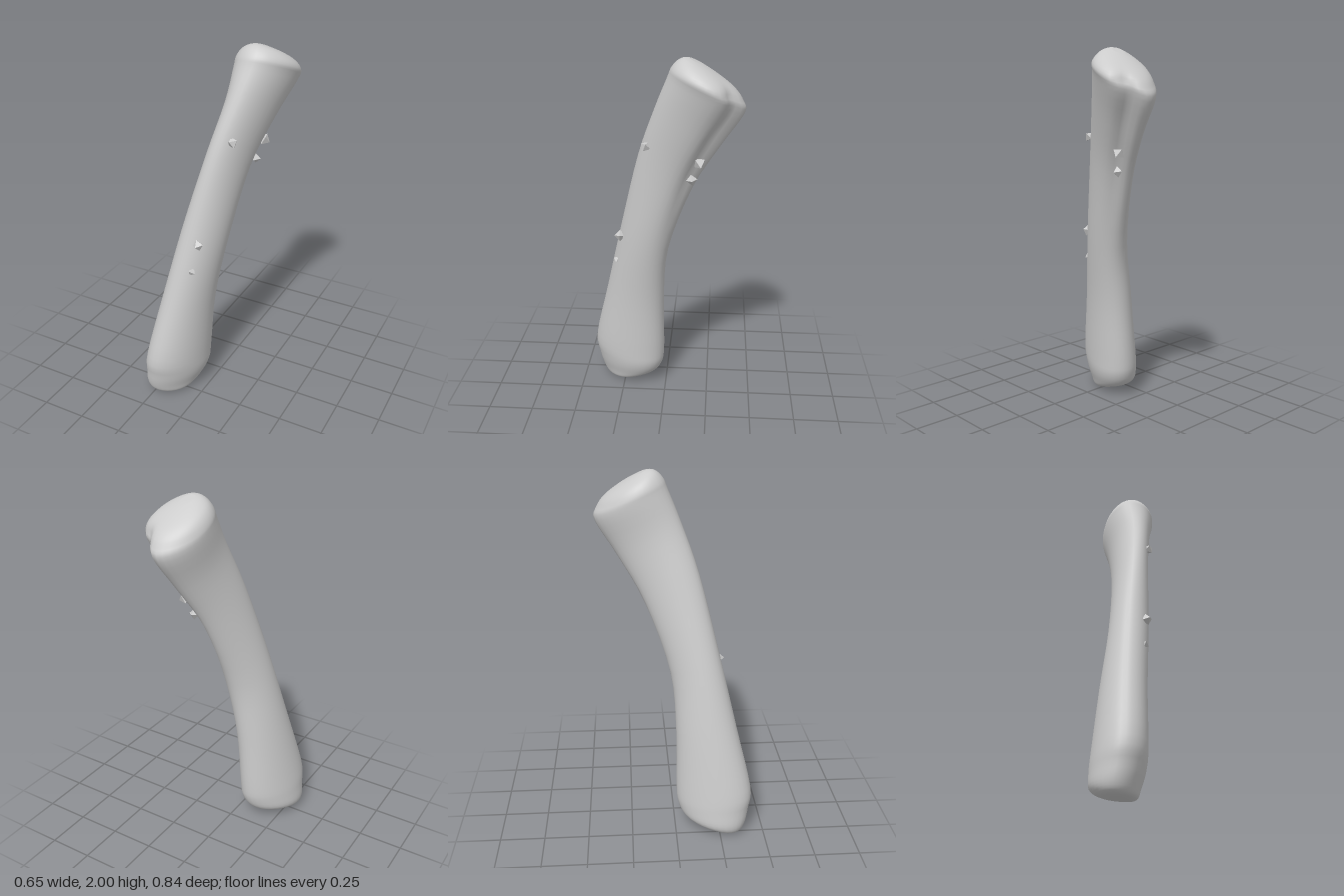
import * as THREE from 'three';

const { smoothstep } = THREE.MathUtils;
const material = new THREE.MeshStandardMaterial({ color: 0xcccccc });
const SIDES = 32;
const RINGS = 52;

const spline = (points) => new THREE.SplineCurve(points.map(([a, b]) => new THREE.Vector2(a, b)));

// Matching outlines, bottom to top: front edge and back edge as (z, y)
const frontEdge = spline([
  [0.32, 0], [0.37, 0.015], [0.395, 0.06], [0.415, 0.15], [0.425, 0.28], [0.345, 0.62], [0.245, 1.05],
  [0.14, 1.47], [0.045, 1.74], [-0.02, 1.9], [-0.04, 1.95], [-0.07, 1.985], [-0.1, 2], [-0.13, 2],
]);
const backEdge = spline([
  [0.23, 0.01], [0.15, 0.03], [0.06, 0.07], [0.02, 0.14], [0.01, 0.25], [0.01, 0.58], [-0.02, 0.92],
  [-0.155, 1.3], [-0.3, 1.55], [-0.415, 1.73], [-0.405, 1.8], [-0.36, 1.86], [-0.28, 1.92], [-0.2, 1.97],
]);
// Side limits as (min x, max x)
const sideLimits = spline([
  [-0.25, -0.12], [-0.3, -0.08], [-0.325, -0.05], [-0.32, -0.02], [-0.305, -0.01], [-0.24, 0.015], [-0.155, 0.075],
  [-0.06, 0.145], [-0.005, 0.23], [0, 0.305], [0.005, 0.325], [0.03, 0.29], [0.07, 0.23], [0.11, 0.17],
]);

// Skin tilted oval rings between the outlines into one closed body
function boneGeometry() {
  const pos = [], index = [];
  for (let i = 0; i <= RINGS; i++) {
    const front = frontEdge.getPoint(i / RINGS);
    const back = backEdge.getPoint(i / RINGS);
    const side = sideLimits.getPoint(i / RINGS);
    const mid = front.clone().add(back).divideScalar(2);
    const half = front.clone().sub(back).divideScalar(2);
    const skew = -0.3 + 0.12 * smoothstep(mid.y, 0.1, 0.9);
    // the groove runs down the side between the two lobes of the head
    const groove = 0.29 * smoothstep(mid.y, 0.8, 1.85) * (1 - smoothstep(mid.y, 1.87, 1.985));
    for (let j = 0; j < SIDES; j++) {
      const t = (j / SIDES) * Math.PI * 2 - Math.PI;
      const r = 1 - groove * Math.exp(-(((t + Math.PI / 4) / 0.45) ** 2));
      const u = r * Math.cos(t), v = r * Math.sin(t + skew);
      pos.push((side.x + side.y + u * (side.y - side.x)) / 2, mid.y + v * half.y, mid.x + v * half.x);
    }
  }
  const last = RINGS * SIDES;
  for (let i = 0; i < last; i += SIDES) {
    for (let j = 0; j < SIDES; j++) {
      const a = i + j, b = i + ((j + 1) % SIDES), c = a + SIDES, d = b + SIDES;
      index.push(a, c, b, b, c, d);
    }
  }
  // end caps
  for (let j = 1; j < SIDES - 1; j++) {
    index.push(0, j, j + 1);
    index.push(last, last + j + 1, last + j);
  }
  const geo = new THREE.BufferGeometry();
  geo.setAttribute('position', new THREE.Float32BufferAttribute(pos, 3));
  geo.setIndex(index);
  geo.computeVertexNormals();
  return geo;
}

export function createModel() {
  const group = new THREE.Group();
  group.name = 'bone';

  const body = new THREE.Mesh(boneGeometry(), material);
  body.name = 'boneBody';
  group.add(body);

  // Small splinters standing off the worn surface: x, y, z, size
  const splinters = [
    [-0.01, 0.99, 0.25, 0.032],
    [0.11, 1.54, 0.09, 0.03],
    [0.16, 1.47, -0.19, 0.035],
    [0.13, 1.37, -0.15, 0.03],
    [-0.04, 0.83, 0.27, 0.025],
  ];
  splinters.forEach(([x, y, z, size], i) => {
    const splinter = new THREE.Mesh(new THREE.OctahedronGeometry(size), material);
    splinter.name = `splinter${i + 1}`;
    splinter.position.set(x, y, z);
    splinter.rotation.set(i, 0.5 * i, 0.3);
    group.add(splinter);
  });
  return group;
}
